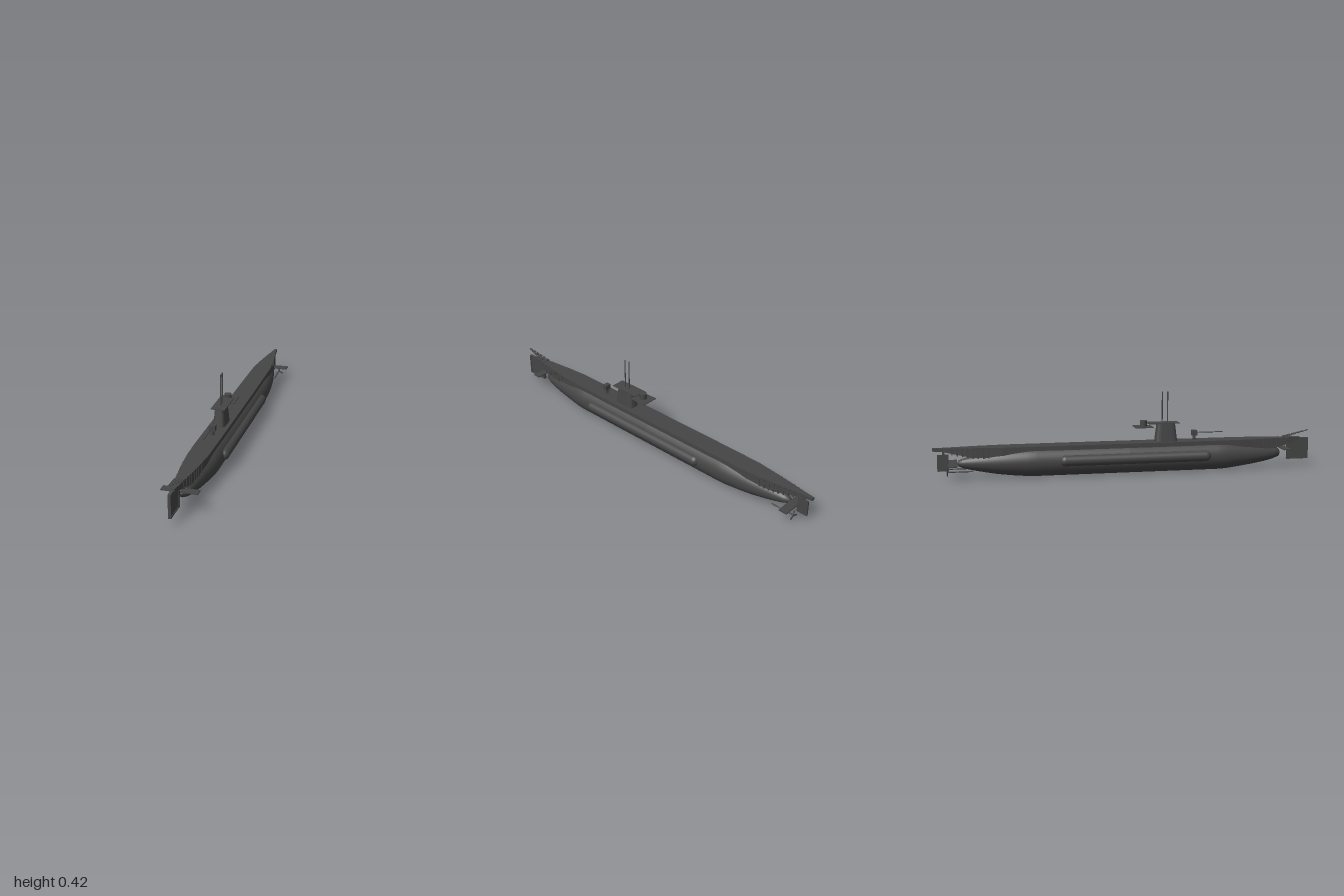
import * as THREE from 'three';

const steel = new THREE.MeshStandardMaterial({ color: 0x454545, side: THREE.DoubleSide });
steel.name = 'dark grey steel';

export function createModel() {
  const model = new THREE.Group();
  model.name = 'submarine';

  const add = (name, geo, x = 0, y = 0, z = 0) => {
    const m = new THREE.Mesh(geo, steel);
    m.name = name;
    m.position.set(x, y, z);
    model.add(m);
    return m;
  };
  const box = (name, w, h, d, x, y, z) => add(name, new THREE.BoxGeometry(w, h, d), x, y, z);
  const rod = (name, r, h, x, y, z, sides = 12) => add(name, new THREE.CylinderGeometry(r, r, h, sides), x, y, z);

  // Skin closed rings of equal length into a flat-faced solid
  const loft = (rings) => {
    const pos = [], n = rings[0].length;
    const tri = (...p) => p.forEach((q) => pos.push(...q));
    for (let i = 0; i < rings.length - 1; i++) {
      for (let j = 0; j < n; j++) {
        const k = (j + 1) % n;
        const a = rings[i][j], b = rings[i][k], c = rings[i + 1][k], d = rings[i + 1][j];
        tri(a, b, c, a, c, d);
      }
    }
    const first = rings[0], last = rings[rings.length - 1];
    for (let j = 1; j < n - 1; j++) {
      tri(first[0], first[j + 1], first[j]);
      tri(last[0], last[j], last[j + 1]);
    }
    const g = new THREE.BufferGeometry();
    g.setAttribute('position', new THREE.Float32BufferAttribute(pos, 3));
    g.computeVertexNormals();
    return g;
  };

  // Pressure hull, turned about the z axis
  const profile = [
    [0, -0.88], [0.014, -0.873], [0.024, -0.85], [0.037, -0.8], [0.049, -0.74], [0.06, -0.68],
    [0.069, -0.61], [0.0765, -0.53], [0.0785, -0.48], [0.0785, 0], [0.0785, 0.48], [0.0765, 0.53],
    [0.068, 0.6], [0.057, 0.68], [0.045, 0.75], [0.033, 0.8], [0.02, 0.832], [0, 0.842],
  ].map(([r, z]) => new THREE.Vector2(r, z));
  const hull = new THREE.LatheGeometry(profile, 40);
  hull.rotateX(Math.PI / 2);
  add('pressureHull', hull, 0, 0.0785, 0);

  // Deck casing: z, half width, underside height
  const deck = [
    [-1, 0.007, 0.145], [-0.95, 0.012, 0.142], [-0.88, 0.022, 0.127], [-0.8, 0.033, 0.11],
    [-0.65, 0.05, 0.105], [-0.3, 0.052, 0.105], [0.3, 0.052, 0.105], [0.6, 0.05, 0.105],
    [0.7, 0.041, 0.105], [0.8, 0.029, 0.106], [0.88, 0.019, 0.126], [0.95, 0.009, 0.145],
  ];
  add('deckCasing', loft(deck.map(([z, w, y]) => [[-w, y, z], [w, y, z], [w, 0.16, z], [-w, 0.16, z]])));
  const deckWidth = (z) => {
    const i = Math.max(1, deck.findIndex((d) => d[0] >= z));
    const [z0, w0] = deck[i - 1], [z1, w1] = deck[i];
    return w0 + (w1 - w0) * (z - z0) / (z1 - z0);
  };

  for (const s of [-1, 1]) {
    // Upright ribs along both ends of the casing
    for (let i = 0; i < 8; i++) {
      for (const z of [0.68 + i * 0.026, -0.72 - i * 0.026]) {
        const low = 0.105 + Math.max(0, Math.abs(z) - 0.8) * 0.2;
        box('casingRib', 0.004, 0.16 - low, 0.007, s * deckWidth(z), (0.16 + low) / 2, z);
      }
    }

    // Saddle tank with rounded ends
    const tank = new THREE.CapsuleGeometry(0.028, 0.74, 8, 24);
    tank.rotateX(Math.PI / 2);
    add('saddleTank', tank, s * 0.07, 0.085, 0.035);

    // Diving planes
    box('bowPlane', 0.082, 0.005, 0.04, s * 0.046, 0.105, 0.853);
    box('sternPlane', 0.09, 0.006, 0.045, s * 0.05, 0.078, -0.9);

    // Propeller shaft and three blades
    const shaft = rod('propellerShaft', 0.0035, 0.13, s * 0.04, 0.043, -0.865, 10);
    shaft.rotation.x = Math.PI / 2;
    for (let i = 0; i < 3; i++) {
      const a = Math.PI / 2 + i * Math.PI * 2 / 3;
      const blade = box('propellerBlade', 0.026, 0.008, 0.003,
        s * 0.04 + Math.cos(a) * 0.014, 0.043 + Math.sin(a) * 0.014, -0.928);
      blade.rotation.set(0.4, 0, a, 'ZXY');
    }
  }

  // Rudder and its post
  box('rudder', 0.008, 0.085, 0.058, 0, 0.083, -0.948);
  box('rudderPost', 0.008, 0.03, 0.014, 0, 0.135, -0.945);
  box('tailStrut', 0.006, 0.006, 0.06, 0, 0.078, -0.895);

  // Bow fin: thin panel in a raised frame
  box('bowFinPanel', 0.007, 0.115, 0.116, 0, 0.097, 0.94);
  for (const y of [0.043, 0.151]) box('bowFinFrame', 0.014, 0.007, 0.12, 0, y, 0.94);
  for (const z of [0.884, 0.996]) box('bowFinFrame', 0.014, 0.115, 0.008, 0, 0.097, z);

  // Rising slatted plates over the bow
  for (let i = 0; i < 6; i++) {
    const t = i / 5;
    const plate = box('bowPlate', 0.046 - 0.034 * t, 0.003, 0.018, 0, 0.165 + 0.029 * t, 0.87 + 0.12 * t);
    plate.rotation.x = -0.24;
  }
  const ridge = box('bowRidge', 0.004, 0.003, 0.142, 0, 0.179, 0.929);
  ridge.rotation.x = -0.24;

  // Conning tower, tapered upward
  const towerRing = (y, w, l) => Array.from({ length: 20 }, (_, i) => {
    const a = -i / 20 * Math.PI * 2;
    const c = Math.cos(a), s = Math.sin(a);
    return [w * Math.sign(c) * Math.sqrt(Math.abs(c)), y, 0.205 + l * Math.sign(s) * Math.sqrt(Math.abs(s))];
  });
  add('conningTower', loft([towerRing(0.155, 0.033, 0.06), towerRing(0.256, 0.024, 0.048)]));
  box('bridgePlatform', 0.072, 0.004, 0.165, 0, 0.257, 0.19);
  box('aftPlatform', 0.09, 0.004, 0.095, 0, 0.239, 0.083);
  rod('gunTub', 0.019, 0.032, 0, 0.256, 0.085, 20);

  // Periscopes
  for (const z of [0.215, 0.186]) rod('periscope', 0.003, 0.17, 0, 0.336, z);

  // Deck gun
  rod('gunPedestal', 0.009, 0.03, 0, 0.173, 0.36);
  box('gunHousing', 0.034, 0.028, 0.026, 0, 0.199, 0.36);
  const barrel = rod('gunBarrel', 0.0025, 0.15, 0, 0.2, 0.44, 10);
  barrel.rotation.x = Math.PI / 2;

  return model;
}
